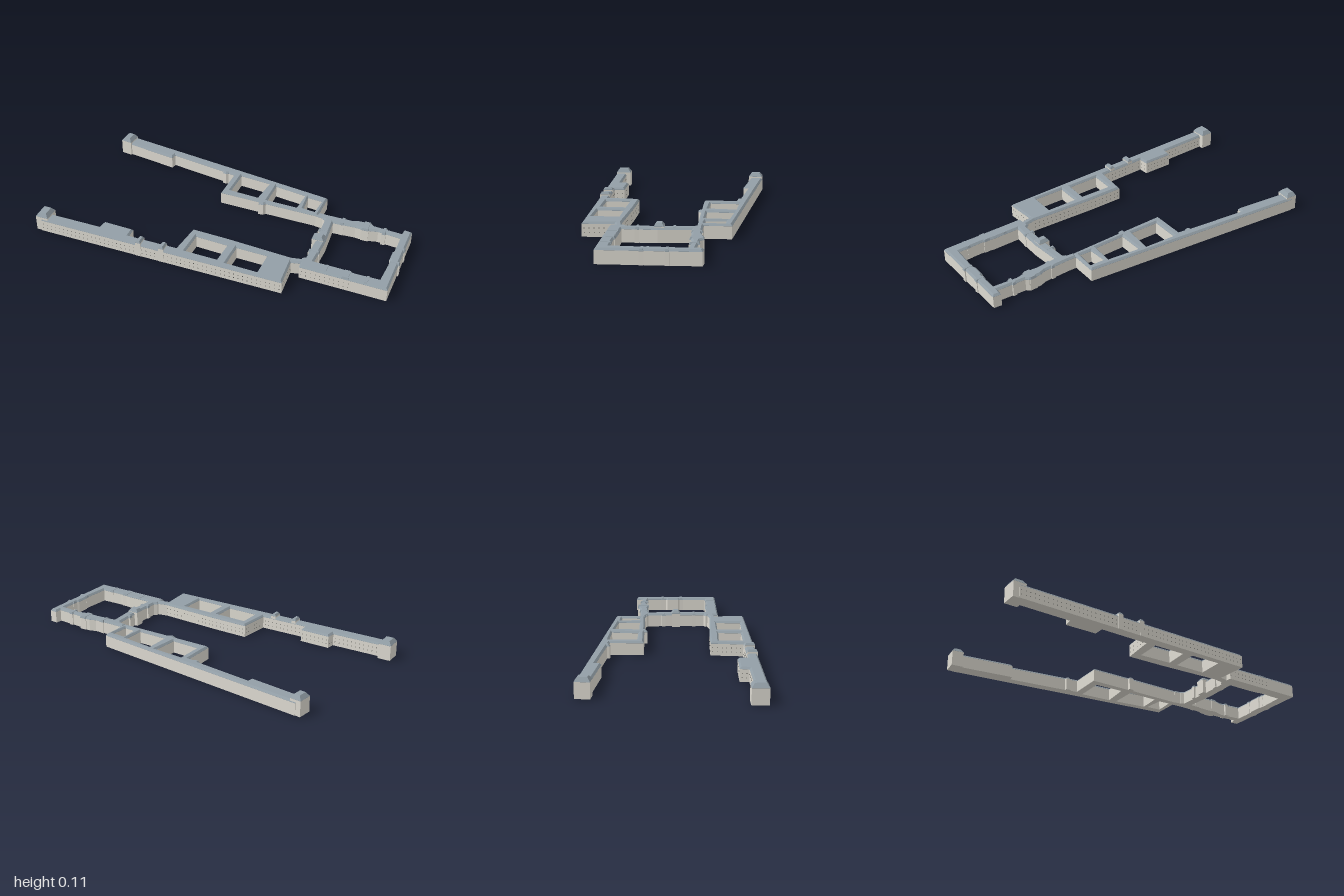
import * as THREE from 'three';
import { mergeGeometries } from 'three/addons/utils/BufferGeometryUtils.js';

const EAVE = 0.066, TOP = 0.077;
const wallMat = new THREE.MeshStandardMaterial({ color: 0xdedbd2 });
const roofMat = new THREE.MeshStandardMaterial({ color: 0x929ea6 });
const windowMat = new THREE.MeshStandardMaterial({ color: 0x5a5a56 });

// plan points are [x, z], listed clockwise from above; courts run the other way round
const toVectors = pts => pts.map(([x, z]) => new THREE.Vector2(x, -z));

function planShape(outline, courts) {
  const shape = new THREE.Shape(toVectors(outline));
  courts.forEach(c => shape.holes.push(new THREE.Path(toVectors(c).reverse())));
  return shape;
}

// keeps only triangles that pass a test on their three heights
function keepTriangles(geo, test) {
  const p = geo.attributes.position, kept = [];
  for (let i = 0; i < p.count; i += 3) {
    if (!test([p.getY(i), p.getY(i + 1), p.getY(i + 2)])) continue;
    for (let k = i; k < i + 3; k++) kept.push(p.getX(k), p.getY(k), p.getZ(k));
  }
  const out = new THREE.BufferGeometry();
  out.setAttribute('position', new THREE.Float32BufferAttribute(kept, 3));
  out.computeVertexNormals();
  return out;
}

// walls up to the eaves with a chamfered flat roof on top
function building(name, outline, courts = [], { eave = EAVE, top = TOP, chamfer = 0.009 } = {}) {
  const group = new THREE.Group();
  group.name = name;
  const shape = planShape(outline, courts);
  const walls = new THREE.ExtrudeGeometry(shape, { depth: eave, bevelEnabled: false }).rotateX(-Math.PI / 2);
  const roof = new THREE.ExtrudeGeometry(shape, {
    depth: 0.001, bevelEnabled: true, bevelSegments: 1,
    bevelThickness: top - eave - 0.001, bevelSize: chamfer, bevelOffset: -chamfer,
  }).rotateX(-Math.PI / 2).translate(0, eave, 0);
  const wallMesh = new THREE.Mesh(keepTriangles(walls, y => Math.min(...y) < eave - 1e-4), wallMat);
  const roofMesh = new THREE.Mesh(keepTriangles(roof, y => Math.max(...y) > eave + 1e-4), roofMat);
  wallMesh.name = 'walls';
  roofMesh.name = 'roof';
  group.add(wallMesh, roofMesh);
  return group;
}

// rotated rectangle in plan; angle turns +x towards +z
function rect(cx, cz, w, d, angle) {
  const c = Math.cos(angle), s = Math.sin(angle);
  return [[-1, -1], [1, -1], [1, 1], [-1, 1]].map(([i, j]) => {
    const u = i * w / 2, v = j * d / 2;
    return [cx + u * c - v * s, cz + u * s + v * c];
  });
}

// two rows of small windows along a run of wall edges
function windows(edges) {
  const parts = [];
  for (const [[x0, z0], [x1, z1]] of edges) {
    const length = Math.hypot(x1 - x0, z1 - z0), n = Math.floor(length / 0.024);
    for (let i = 0; i < n; i++) {
      const t = (i + 0.5) / n;
      for (const y of [0.022, 0.045]) {
        parts.push(new THREE.BoxGeometry(0.003, 0.005, 0.001)
          .rotateY(-Math.atan2(z1 - z0, x1 - x0))
          .translate(x0 + (x1 - x0) * t, y, z0 + (z1 - z0) * t));
      }
    }
  }
  const mesh = new THREE.Mesh(mergeGeometries(parts), windowMat);
  mesh.name = 'windows';
  return mesh;
}

export function createModel() {
  const model = new THREE.Group();
  model.name = 'palaceComplex';
  const A = 0.325, B = 0.454; // headings of the south and north wings

  // south wing with two courts
  const south = [
    [-0.953, 0.128], [-0.65, 0.23], [-0.628, 0.187], [-0.468, 0.246], [-0.484, 0.299], [-0.227, 0.385],
    [-0.152, 0.225], [0.04, 0.297], [0.372, 0.433], [0.318, 0.626], [-0.972, 0.19],
  ];
  model.add(building('southWing', south, [
    [[-0.131, 0.283], [0.035, 0.348], [-0.013, 0.465], [-0.179, 0.406]],
    [[0.083, 0.364], [0.243, 0.422], [0.195, 0.551], [0.035, 0.492]],
  ]));

  // north wing with three courts
  model.add(building('northWing', [
    [-0.58, -0.645], [0.564, -0.086], [0.505, 0.075], [0.225, -0.022], [0.21, -0.012], [0.185, -0.02],
    [0.19, -0.036], [-0.024, -0.112], [0.04, -0.283], [0.008, -0.299], [-0.008, -0.295], [-0.026, -0.305],
    [-0.022, -0.318], [-0.313, -0.465], [-0.329, -0.438], [-0.609, -0.58],
  ], [
    [[0.083, -0.278], [0.243, -0.209], [0.179, -0.075], [0.029, -0.134]],
    [[0.281, -0.187], [0.441, -0.107], [0.393, 0.005], [0.233, -0.053]],
    [[0.457, -0.091], [0.532, -0.059], [0.489, 0.037], [0.43, 0.011]],
  ]));

  // square court
  const square = [
    [0.548, 0.059], [0.692, 0.107], [0.73, 0.107], [0.794, 0.128], [0.803, 0.146], [0.944, 0.205],
    [0.96, 0.171], [0.999, 0.19], [0.835, 0.655], [0.66, 0.592], [0.404, 0.5], [0.42, 0.428],
    [0.441, 0.422], [0.489, 0.289], [0.543, 0.107], [0.53, 0.095],
  ];
  model.add(building('squareCourt', square, [[
    [0.586, 0.128], [0.703, 0.16], [0.751, 0.182], [0.821, 0.19], [0.933, 0.241], [0.896, 0.348],
    [0.885, 0.353], [0.862, 0.417], [0.867, 0.428], [0.805, 0.575], [0.682, 0.535], [0.618, 0.503],
    [0.479, 0.454], [0.543, 0.289],
  ]]));

  // short links between the wings and the square court
  model.add(building('southLink', [[0.355, 0.428], [0.435, 0.44], [0.43, 0.475], [0.35, 0.465]]));
  model.add(building('northLink', [[0.515, 0.045], [0.565, 0.065], [0.55, 0.1], [0.495, 0.073]]));

  // taller pavilions and turrets
  const tall = { eave: 0.084, top: 0.106, chamfer: 0.015 };
  const medium = { eave: 0.08, top: 0.097, chamfer: 0.012 };
  const small = { eave: 0.084, top: 0.096, chamfer: 0.007 };
  model.add(building('southEndPavilion', rect(-0.953, 0.147, 0.07, 0.086, A), [], tall));
  model.add(building('northEndPavilion', rect(-0.596, -0.606, 0.062, 0.078, B), [], tall));
  model.add(building('westPavilion', rect(0.507, 0.27, 0.062, 0.05, A), [], medium));
  for (const [x, z] of [[-0.42, 0.35], [-0.297, 0.391]]) {
    model.add(building('turret', rect(x, z, 0.028, 0.054, A), [], small));
  }

  // projecting bays around the square court: [x, z, width, depth]
  const bays = [
    [0.64, 0.115, 0.022, 0.058], [0.762, 0.15, 0.04, 0.07], [0.855, 0.188, 0.022, 0.052],
    [0.532, 0.2, 0.054, 0.022], [0.481, 0.375, 0.06, 0.022], [0.925, 0.335, 0.052, 0.022], [0.887, 0.445, 0.054, 0.022],
    [0.54, 0.51, 0.022, 0.062], [0.64, 0.549, 0.04, 0.066], [0.74, 0.585, 0.022, 0.062],
  ];
  for (const [x, z, w, d] of bays) {
    model.add(building('projectingBay', rect(x, z, w, d, A), [], { top: TOP + 0.001, chamfer: 0.005 }));
  }

  // windows along the outer walls of the south wing and the court's south front
  const edges = south.map((p, i) => [p, south[(i + 1) % south.length]]);
  edges.push([square[9], square[10]]);
  model.add(windows(edges));
  return model;
}
